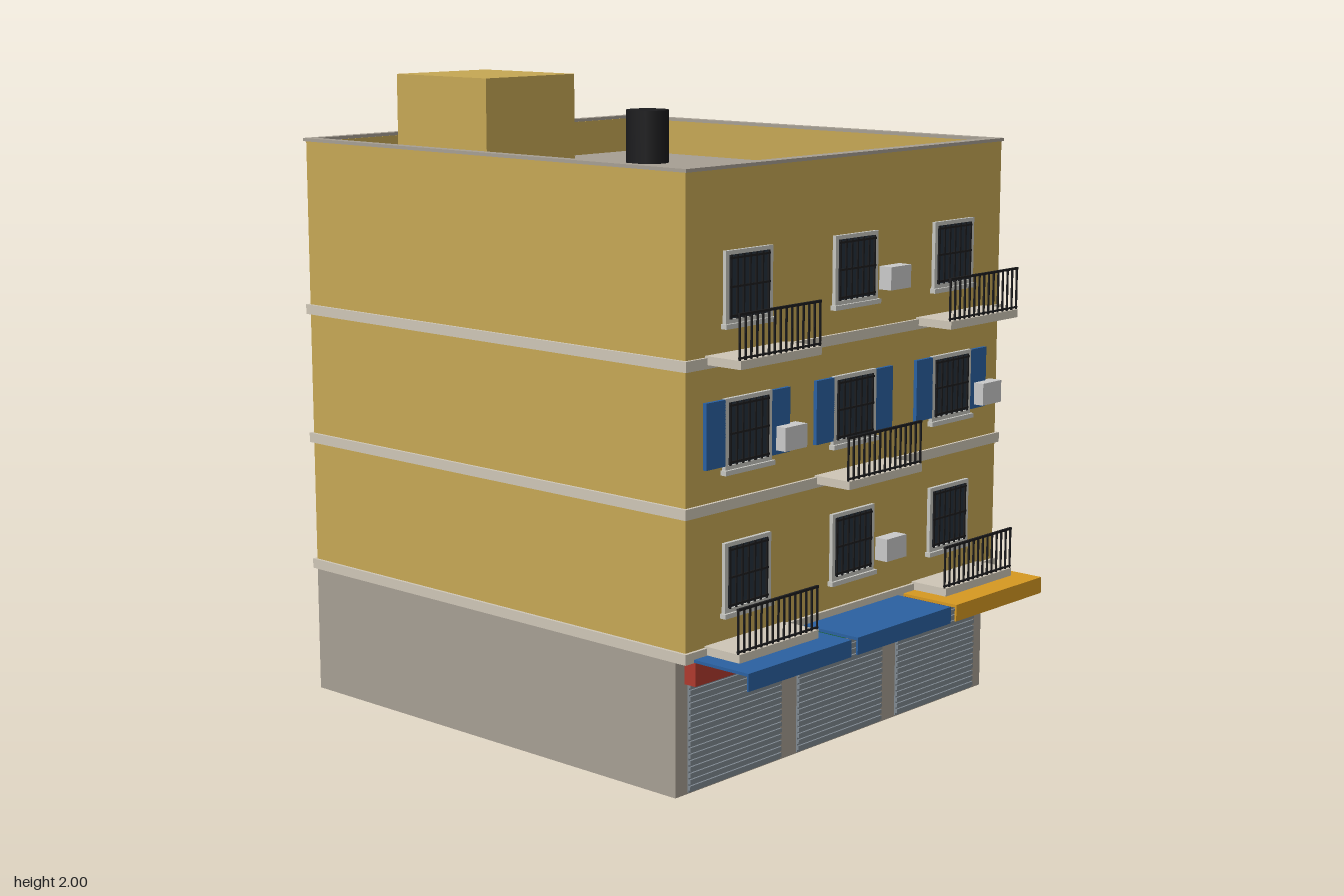
import * as THREE from 'three';

const mat = (color) => new THREE.MeshStandardMaterial({ color });
const M = {
  wall: mat(0xc8a955), stone: mat(0xa8a094), trim: mat(0xd0c8b8), frame: mat(0xc8c8c2),
  glass: mat(0x24303c), iron: mat(0x1c1c1e), steel: mat(0x808a92), blue: mat(0x2b62a3),
  orange: mat(0xd89a22), red: mat(0xb03a2e), green: mat(0x2a9a5a), unit: mat(0xcccccc),
};

// Box given by its min and max on each axis
function box(parent, name, material, x0, x1, y0, y1, z0, z1) {
  const m = new THREE.Mesh(new THREE.BoxGeometry(x1 - x0, y1 - y0, z1 - z0), material);
  m.position.set((x0 + x1) / 2, (y0 + y1) / 2, (z0 + z1) / 2);
  m.name = name;
  parent.add(m);
  return m;
}

function group(parent, name, x = 0, y = 0, z = 0) {
  const g = new THREE.Group();
  g.name = name;
  g.position.set(x, y, z);
  parent.add(g);
  return g;
}

// Horizontal rectangular ring; outer and inner are [x half width, z back, z front]
function ring(parent, name, material, outer, inner, y0, y1) {
  const pts = ([w, b, f]) => [[-w, -f], [w, -f], [w, -b], [-w, -b]].map(([x, y]) => new THREE.Vector2(x, y));
  const shape = new THREE.Shape(pts(outer));
  shape.holes.push(new THREE.Path(pts(inner).reverse()));
  const geo = new THREE.ExtrudeGeometry(shape, { depth: y1 - y0, bevelEnabled: false });
  geo.rotateX(-Math.PI / 2);
  const m = new THREE.Mesh(geo, material);
  m.position.y = y0;
  m.name = name;
  parent.add(m);
}

// Barred window: origin at bottom centre of the sill on the wall plane, facing +z
function addWindow(parent, x, y, z) {
  const g = group(parent, 'window', x, y, z);
  box(g, 'windowSill', M.frame, -0.108, 0.108, 0, 0.014, 0, 0.02);
  box(g, 'windowPane', M.glass, -0.09, 0.09, 0.025, 0.21, 0, 0.005);
  for (const s of [-1, 1]) {
    const c = s * 0.094;
    box(g, 'frameSide', M.frame, c - 0.007, c + 0.007, 0.014, 0.219, 0, 0.012);
  }
  box(g, 'frameTop', M.frame, -0.087, 0.087, 0.207, 0.219, 0, 0.012);
  box(g, 'frameBottom', M.frame, -0.087, 0.087, 0.014, 0.026, 0, 0.012);
  for (let i = 0; i < 7; i++) {
    const c = -0.081 + i * 0.027;
    box(g, 'windowBar', M.iron, c - 0.003, c + 0.003, 0.026, 0.207, 0.011, 0.016);
  }
  for (const h of [0.035, 0.117, 0.198]) box(g, 'windowCrossBar', M.iron, -0.087, 0.087, h - 0.003, h + 0.003, 0.011, 0.016);
  return g;
}

// Slab with a railing along its front edge
function addBalcony(parent, x, y, z) {
  const g = group(parent, 'balcony', x, y, z);
  box(g, 'balconySlab', M.trim, -0.175, 0.175, 0, 0.025, 0, 0.132);
  box(g, 'handRail', M.iron, -0.177, 0.177, 0.15, 0.157, 0.122, 0.13);
  box(g, 'bottomRail', M.iron, -0.177, 0.177, 0.029, 0.034, 0.123, 0.129);
  for (let i = 0; i < 15; i++) {
    const c = -0.174 + (i * 0.348) / 14;
    box(g, 'baluster', M.iron, c - 0.0025, c + 0.0025, 0.025, 0.152, 0.1235, 0.1285);
  }
}

// Roller door with sign and awning
function addShop(parent, x, awningMat, signMat) {
  const g = group(parent, 'shop', x);
  box(g, 'rollerDoor', M.steel, -0.203, 0.203, 0.005, 0.335, 0.66, 0.675);
  for (let i = 0; i < 17; i++) {
    const y = 0.012 + i * 0.019;
    box(g, 'doorSlat', M.steel, -0.203, 0.203, y, y + 0.013, 0.67, 0.681);
  }
  box(g, 'signBoard', signMat, -0.216, 0.216, 0.33, 0.4, 0.665, 0.712);
  box(g, 'awningTop', awningMat, -0.228, 0.228, 0.405, 0.414, 0.7, 0.92);
  box(g, 'awningValance', awningMat, -0.228, 0.228, 0.362, 0.405, 0.914, 0.92);
}

export function createModel() {
  const root = new THREE.Group();
  root.name = 'apartmentBuilding';
  const front = 0.708, back = -0.904, cols = [-0.485, 0, 0.485];

  // Main masses
  box(root, 'groundFloor', M.stone, -0.74, 0.74, 0, 0.4, back, 0.67);
  box(root, 'upperFloors', M.wall, -0.74, 0.74, 0.4, 1.66, back, front);
  box(root, 'roofDeck', M.stone, -0.72, 0.72, 1.66, 1.67, back + 0.02, front - 0.02);
  ring(root, 'parapet', M.wall, [0.74, back, front], [0.713, back + 0.024, front - 0.034], 1.66, 1.786);
  ring(root, 'coping', M.stone, [0.745, -0.914, 0.714], [0.711, -0.882, 0.672], 1.786, 1.796);

  // Roof fittings
  box(root, 'stairHouse', M.wall, -0.593, -0.218, 1.67, 2, -0.635, -0.233);
  const tank = new THREE.Mesh(new THREE.CylinderGeometry(0.073, 0.073, 0.18, 14), M.iron);
  tank.position.set(0.4, 1.758, -0.5);
  tank.name = 'waterTank';
  root.add(tank);

  // Shops
  addShop(root, -0.486, M.blue, M.red);
  addShop(root, 0, M.blue, M.green);
  addShop(root, 0.484, M.orange, M.red);

  // Three storeys
  for (let f = 0; f < 3; f++) {
    const dy = f * 0.4165;
    box(root, 'floorBand', M.trim, -0.75, 0.75, 0.404 + dy, 0.435 + dy, back - 0.01, front + 0.01);
    const rear = group(root, 'rearWindows', 0, 0, back);
    rear.rotation.y = Math.PI;
    for (const x of [-0.54, 0, 0.54]) addWindow(rear, x, 0.507 + dy, 0);

    cols.forEach((x, i) => {
      const w = addWindow(root, x, 0.507 + dy, front);
      const hasBalcony = (i + f) % 2 === 0;
      if (hasBalcony) addBalcony(root, x, 0.415 + dy, front);
      // Blue shutters on the middle storey
      if (f === 1) {
        for (const s of [-1, 1]) {
          const c = s * 0.141;
          box(w, 'shutter', M.blue, c - 0.041, c + 0.041, 0.026, 0.217, 0, 0.012);
        }
      }
      // Air conditioners beside the windows without a balcony
      if (!hasBalcony) {
        box(w, 'airConditioner', M.unit, 0.12, 0.218, 0.039, 0.109, 0.002, 0.047);
      }
    });
  }
  return root;
}
